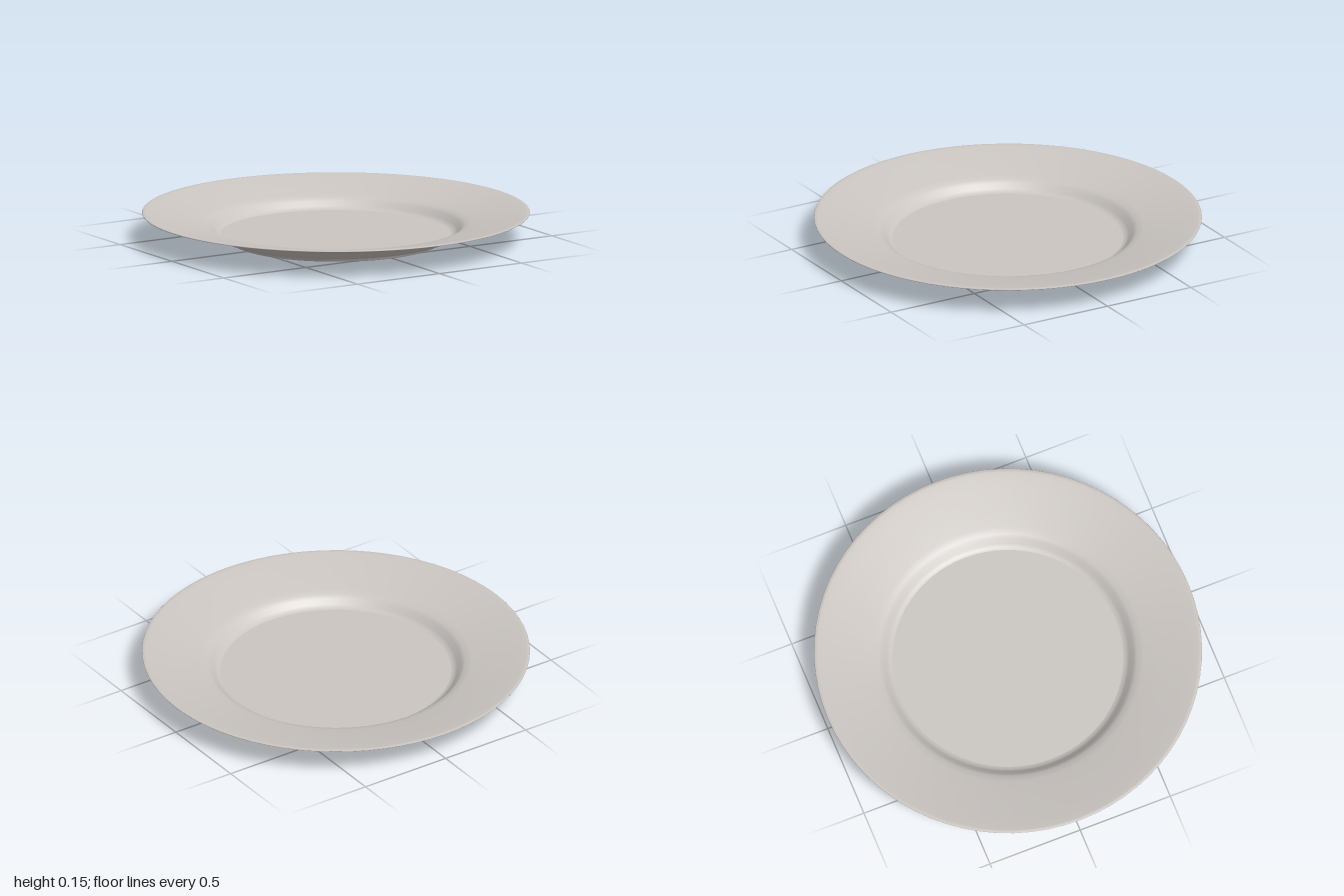
import * as THREE from 'three';

const glaze = new THREE.MeshStandardMaterial({ color: 0xcbc6c2 });
glaze.name = 'warm white glaze';

// Smooth turned surface; the profile runs [radius, height]
function turned(name, profile) {
  const points = profile.map(([r, y]) => new THREE.Vector2(r, y));
  const mesh = new THREE.Mesh(new THREE.LatheGeometry(points, 72), glaze);
  mesh.name = name;
  return mesh;
}

export function createModel() {
  const plate = new THREE.Group();
  plate.name = 'plate';

  // Recessed underside and foot ring
  plate.add(turned('base', [[0, 0.012], [0.51, 0.012]]));
  plate.add(turned('footRing', [
    [0.51, 0.012], [0.52, 0.004], [0.53, 0], [0.545, 0], [0.553, 0.005], [0.556, 0.018], [0.565, 0.022],
  ]));

  // Outer wall, underside of the flange and the thin lip
  plate.add(turned('underside', [
    [0.565, 0.022], [0.6, 0.025], [0.618, 0.034], [0.635, 0.052], [0.655, 0.071],
    [0.68, 0.08], [0.8, 0.104], [0.92, 0.129], [0.985, 0.141],
  ]));
  plate.add(turned('lip', [[0.985, 0.141], [0.998, 0.144], [1, 0.147], [0.997, 0.15], [0.985, 0.15]]));

  // Upper flange sloping to the well
  plate.add(turned('rim', [
    [0.985, 0.15], [0.96, 0.147], [0.9, 0.136], [0.8, 0.117], [0.7, 0.097],
    [0.665, 0.087], [0.645, 0.073], [0.625, 0.05], [0.61, 0.039], [0.595, 0.035],
  ]));
  plate.add(turned('well', [[0.595, 0.035], [0, 0.035]]));

  return plate;
}
